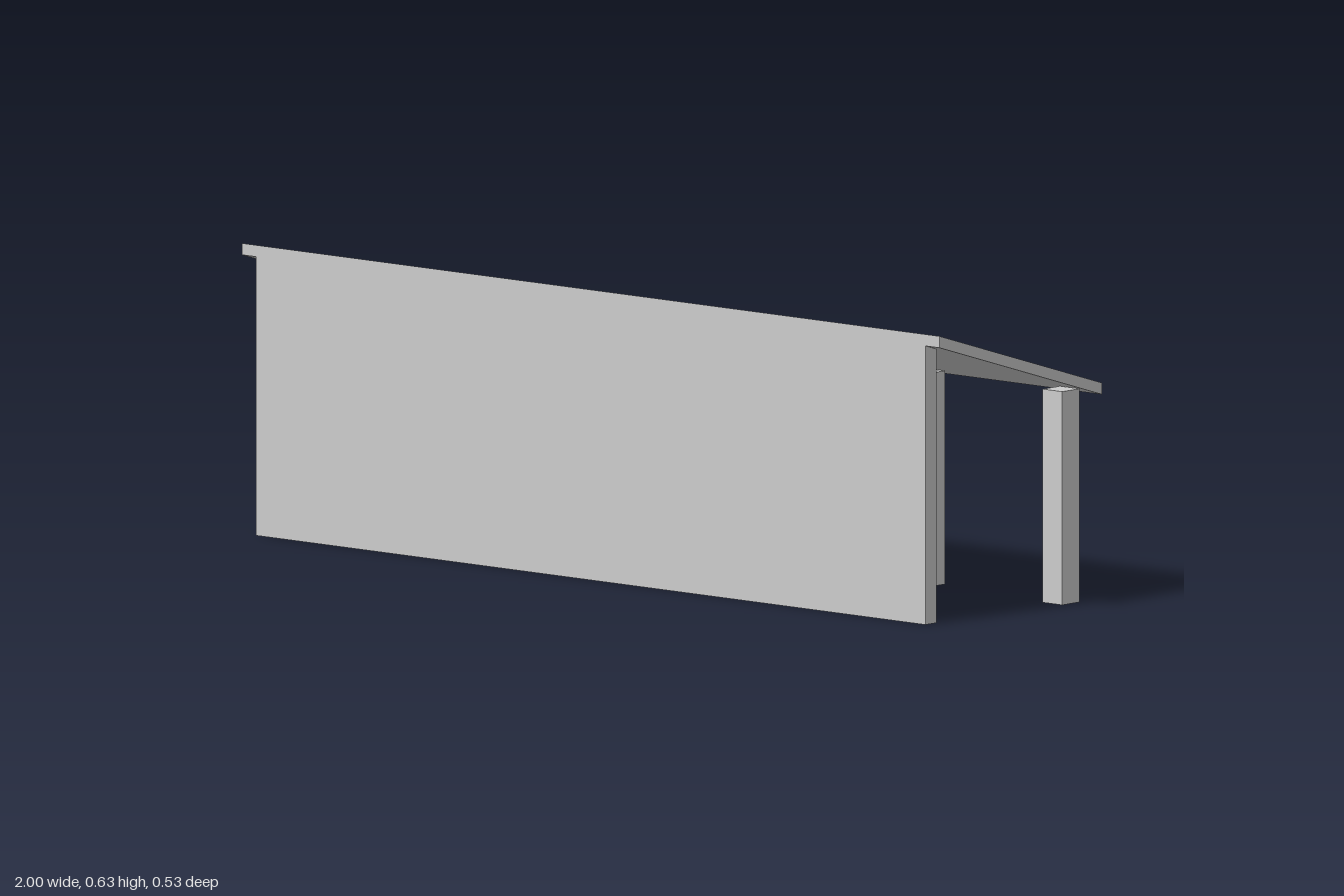
import * as THREE from 'three';

const material = new THREE.MeshStandardMaterial({ color: 0xcccccc, flatShading: true });

// Extrudes a side profile of [z, y] points along x, centred on x = 0
function extrudeAlongX(profile, width) {
  const shape = new THREE.Shape(profile.map(([z, y]) => new THREE.Vector2(-z, y)));
  const geometry = new THREE.ExtrudeGeometry(shape, { depth: width, bevelEnabled: false });
  geometry.translate(0, 0, -width / 2);
  geometry.rotateY(Math.PI / 2);
  return geometry;
}

function addPart(group, name, geometry) {
  const mesh = new THREE.Mesh(geometry, material);
  mesh.name = name;
  group.add(mesh);
  return mesh;
}

export function createModel() {
  const model = new THREE.Group();
  model.name = 'openShelter';

  // Sloping roof slab with upright edges, high at the front
  addPart(model, 'roof', extrudeAlongX(
    [[0.263, 0.605], [0.263, 0.63], [-0.263, 0.469], [-0.263, 0.444]], 2));

  // Long front wall, its top set into the roof
  addPart(model, 'frontWall', extrudeAlongX(
    [[0.263, 0], [0.263, 0.62], [0.227, 0.609], [0.227, 0]], 1.92));

  // Row of square posts along the back
  const postCount = 6;
  const postSize = 0.056;
  const postHeight = 0.463;
  const endX = 0.965;
  const postGeometry = new THREE.BoxGeometry(postSize, postHeight, postSize);
  const posts = new THREE.Group();
  posts.name = 'backPosts';
  for (let i = 0; i < postCount; i++) {
    const post = addPart(posts, `post${i + 1}`, postGeometry);
    post.position.set(-endX + (2 * endX * i) / (postCount - 1), postHeight / 2, -0.17);
  }
  model.add(posts);

  return model;
}
